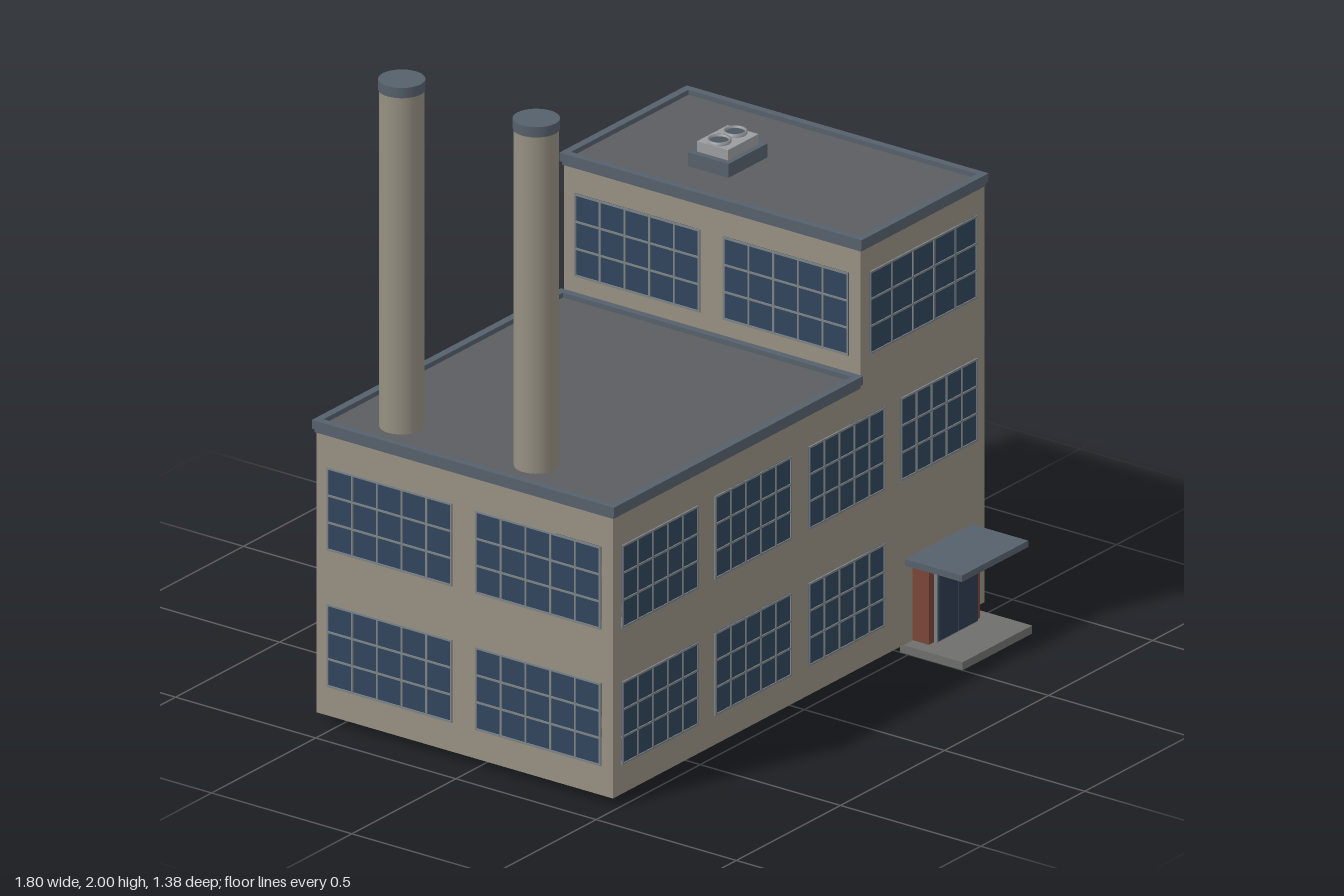
import * as THREE from 'three';
import { mergeGeometries } from 'three/addons/utils/BufferGeometryUtils.js';

const mat = (color) => new THREE.MeshStandardMaterial({ color });
const M = {
  wall: mat(0x969082), glass: mat(0x30455c), bar: mat(0x7d8285), trim: mat(0x56606b),
  roof: mat(0x5c5d61), brick: mat(0x7a4638), doorGlass: mat(0x2e3a50), slab: mat(0x6e6f6c),
  shutter: mat(0x73777a), vent: mat(0x9a9c9f), fan: mat(0x4c5762),
};

// Box given by its limits on each axis
function slab(name, [x0, x1], [y0, y1], [z0, z1], material) {
  const mesh = new THREE.Mesh(new THREE.BoxGeometry(x1 - x0, y1 - y0, z1 - z0), material);
  mesh.position.set((x0 + x1) / 2, (y0 + y1) / 2, (z0 + z1) / 2);
  mesh.name = name;
  return mesh;
}

function cylinder(name, r, y0, y1, x, z, material, sides = 32) {
  const mesh = new THREE.Mesh(new THREE.CylinderGeometry(r, r, y1 - y0, sides), material);
  mesh.position.set(x, (y0 + y1) / 2, z);
  mesh.name = name;
  return mesh;
}

// Flat rectangular ring, used for parapets
function ring(name, [x0, x1], [y0, y1], [z0, z1], t, material) {
  const rect = (Type, d) => new Type([
    [x0 + d, -z1 + d], [x1 - d, -z1 + d], [x1 - d, -z0 - d], [x0 + d, -z0 - d],
  ].map(([x, y]) => new THREE.Vector2(x, y)));
  const shape = rect(THREE.Shape, 0);
  shape.holes.push(rect(THREE.Path, t));
  const geo = new THREE.ExtrudeGeometry(shape, { depth: y1 - y0, bevelEnabled: false });
  const mesh = new THREE.Mesh(geo.rotateX(-Math.PI / 2), material);
  mesh.position.y = y0;
  mesh.name = name;
  return mesh;
}

// Gridded window facing +z, centred on its own origin
function makeWindow(w, h, cols = 5, rows = 3) {
  const g = new THREE.Group();
  g.name = 'window';
  g.add(slab('glass', [-w / 2, w / 2], [-h / 2, h / 2], [-0.01, 0.002], M.glass));
  const t = 0.006, bars = [];
  for (let i = 0; i <= cols; i++) {
    const x = -w / 2 + t / 2 + (i * (w - t)) / cols;
    bars.push(new THREE.BoxGeometry(t, h, 0.01).translate(x, 0, 0));
  }
  for (let j = 0; j <= rows; j++) {
    const y = -h / 2 + t / 2 + (j * (h - t)) / rows;
    bars.push(new THREE.BoxGeometry(w, t, 0.01).translate(0, y, 0));
  }
  const grid = new THREE.Mesh(mergeGeometries(bars), M.bar);
  grid.name = 'windowBars';
  g.add(grid);
  return g;
}

export function createModel() {
  const model = new THREE.Group();
  model.name = 'factory';
  const L = -0.895, R = 0.89, T = 0.295, B = -0.575, F = 0.482;

  // Main hall and tower
  model.add(
    slab('hall', [L, T], [0.025, 0.915], [B, F], M.wall),
    slab('tower', [T, R], [0.025, 1.335], [B, F], M.wall),
  );

  // Roofs with raised parapets and a thin band beneath
  const roof = (name, x0, x1, y) => {
    model.add(
      slab(name + 'Roof', [x0, x1], [y - 0.03, y - 0.015], [B, F], M.roof),
      ring(name + 'Parapet', [x0 - 0.008, x1 + 0.008], [y - 0.027, y], [B - 0.011, F + 0.009], 0.024, M.trim),
      ring(name + 'Band', [x0 - 0.003, x1 + 0.003], [y - 0.038, y - 0.027], [B - 0.005, F + 0.004], 0.01, M.trim),
    );
  };
  roof('hall', L, T - 0.008, 0.935);
  roof('tower', T, R, 1.36);

  // Windows: front and back walls
  const rows = [0.245, 0.67, 1.115], H = 0.258;
  const columns = [-0.672, -0.225, 0.225, 0.668];
  const addWindow = (w, x, y, z, turn) => {
    const win = makeWindow(w, H);
    win.position.set(x, y, z);
    win.rotation.y = turn;
    model.add(win);
  };
  for (const [z, turn] of [[F, 0], [B, Math.PI]]) {
    columns.forEach((x, i) => {
      addWindow(0.367, x, rows[1], z, turn);
      if (i < (turn ? 2 : 3)) addWindow(0.367, x, rows[0], z, turn);
    });
    addWindow(0.515, 0.593, rows[2], z, turn);
  }
  // Windows: side walls, including the tower side above the hall roof
  for (const z of [0.217, -0.313]) {
    rows.forEach((y, i) => {
      addWindow(0.447, R, y, z, Math.PI / 2);
      addWindow(0.447, i === 2 ? T : L, y, z, -Math.PI / 2);
    });
  }

  // Chimneys
  for (const z of [0.105, -0.375]) {
    model.add(
      cylinder('chimney', 0.065, 0.9, 1.97, -0.755, z, M.wall),
      cylinder('chimneyCap', 0.068, 1.968, 2, -0.755, z, M.trim),
    );
  }

  // Rooftop ventilation unit with two fans
  model.add(
    slab('ventBase', [0.455, 0.642], [1.34, 1.388], [-0.252, -0.108], M.trim),
    slab('ventBox', [0.475, 0.622], [1.385, 1.42], [-0.235, -0.125], M.vent),
  );
  for (const x of [0.51, 0.587]) {
    const profile = [[0.035, 0], [0.035, 0.012], [0.029, 0.012], [0.029, 0]];
    const rim = new THREE.Mesh(
      new THREE.LatheGeometry(profile.map(([r, y]) => new THREE.Vector2(r, y)), 24),
      M.vent.clone(),
    );
    rim.material.side = THREE.DoubleSide;
    rim.position.set(x, 1.418, -0.182);
    rim.name = 'fanRim';
    model.add(rim, cylinder('fan', 0.029, 1.415, 1.424, x, -0.182, M.fan, 24));
  }

  // Entrance: step, brick porch, double door and canopy
  model.add(
    slab('entranceStep', [0.5, 0.835], [0, 0.025], [0.47, 0.693], M.slab),
    slab('porch', [0.545, 0.79], [0.025, 0.275], [F - 0.01, 0.54], M.brick),
    slab('doorFrame', [0.57, 0.767], [0.025, 0.25], [0.53, 0.55], M.bar),
    slab('canopy', [0.508, 0.827], [0.27, 0.29], [F - 0.01, 0.685], M.trim),
  );
  for (const x of [0.576, 0.671]) {
    model.add(slab('doorPanel', [x, x + 0.09], [0.03, 0.241], [0.54, 0.554], M.doorGlass));
  }

  // Loading bay with three shutters
  model.add(slab('loadingBay', [-0.13, 0.69], [0, 0.425], [-0.688, -0.55], M.wall));
  for (const x of [-0.07, 0.182, 0.435]) {
    model.add(slab('shutter', [x, x + 0.2], [0.02, 0.33], [-0.691, -0.68], M.shutter));
  }
  return model;
}
